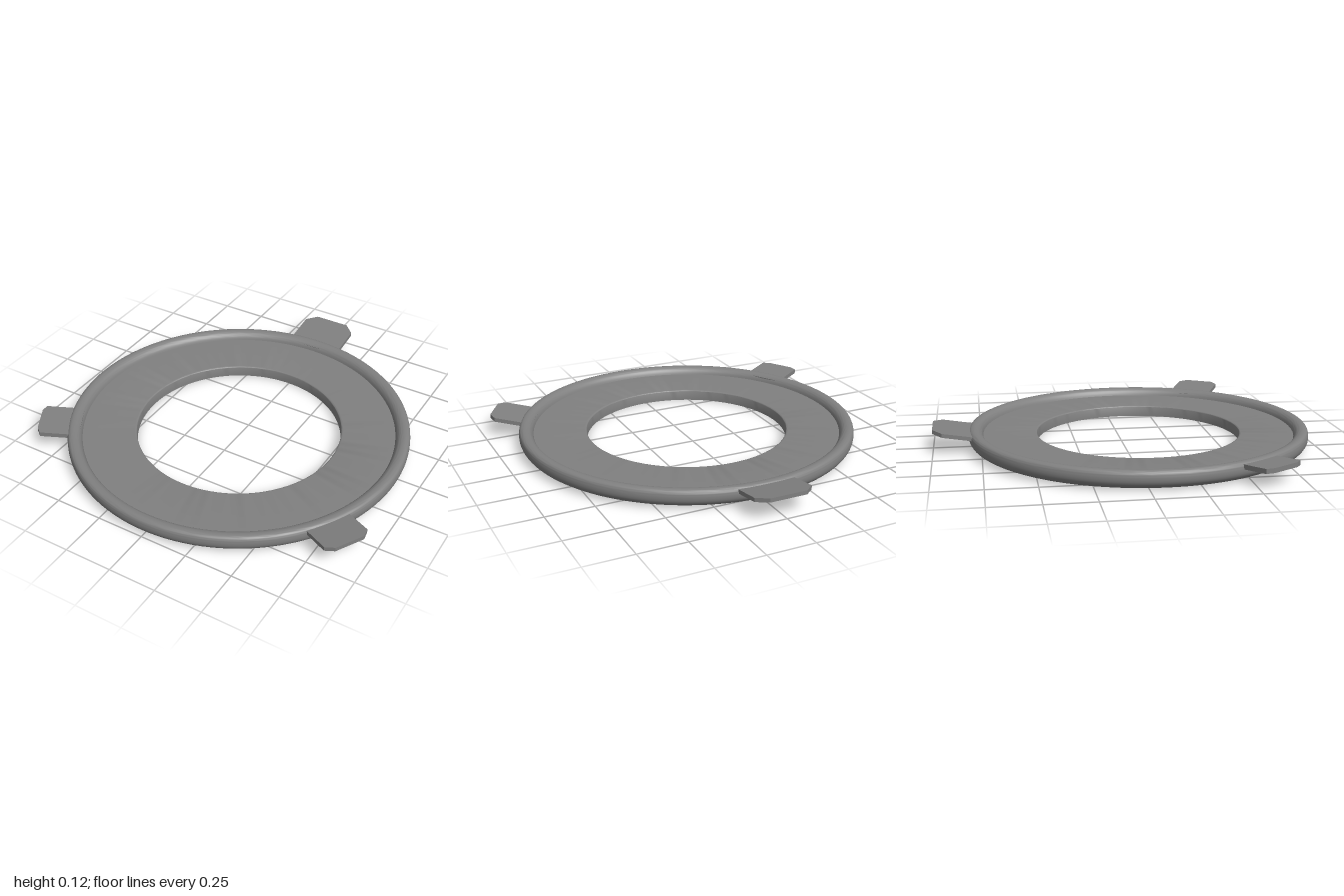
import * as THREE from 'three';
import { toCreasedNormals } from 'three/addons/utils/BufferGeometryUtils.js';

// Chamfered plate reaching outwards along -z, sloping up with distance from the ring.
function tabGeometry({ x0, x1, outer, cutX, cutR, base, slope, thick }) {
  const inner = 0.836;
  const shape = new THREE.Shape([
    [x0, inner], [x1, inner], [x1, outer - cutR], [x1 - cutX, outer],
    [x0 + cutX, outer], [x0, outer - cutR],
  ].map(([x, y]) => new THREE.Vector2(x, y)));
  const geo = new THREE.ExtrudeGeometry(shape, { depth: thick, bevelEnabled: false });
  geo.rotateX(-Math.PI / 2);
  const p = geo.attributes.position;
  for (let i = 0; i < p.count; i++) {
    p.setY(i, p.getY(i) + base + slope * (-p.getZ(i) - inner));
  }
  geo.computeVertexNormals();
  return geo;
}

export function createModel() {
  const model = new THREE.Group();
  model.name = 'trimRing';
  const grey = new THREE.MeshStandardMaterial({ color: 0x808080 });
  grey.name = 'grey';

  // Ring section: flat underside, rounded outside, raised rim, recessed floor, hole wall
  const section = new THREE.Path();
  section.moveTo(0.543, 0);
  section.lineTo(0.81, 0);
  section.bezierCurveTo(0.865, 0, 0.905, 0.02, 0.905, 0.058);
  section.bezierCurveTo(0.905, 0.085, 0.9, 0.1, 0.875, 0.1);
  section.quadraticCurveTo(0.838, 0.1, 0.828, 0.06);
  section.lineTo(0.555, 0.06);
  section.quadraticCurveTo(0.543, 0.06, 0.543, 0.052);
  section.lineTo(0.543, 0);
  const ringGeo = toCreasedNormals(
    new THREE.LatheGeometry(section.getPoints(10), 128), Math.PI / 6);
  const ring = new THREE.Mesh(ringGeo, grey);
  ring.name = 'ring';
  model.add(ring);

  // Three mounting tabs: a wide one at the back, two smaller ones towards the front
  const tabs = [
    { name: 'backTab', turn: 0, x0: -0.152, x1: 0.152, outer: 1.09, cutX: 0.055, cutR: 0.05,
      base: 0.062, slope: 0.16, thick: 0.021 },
    { name: 'rightTab', turn: 120, x0: -0.13, x1: 0.1, outer: 1.055, cutX: 0.04, cutR: 0.017,
      base: 0.062, slope: 0.08, thick: 0.024 },
    { name: 'leftTab', turn: -120, x0: -0.105, x1: 0.133, outer: 1.07, cutX: 0.04, cutR: 0.033,
      base: 0.06, slope: 0.15, thick: 0.022 },
  ];
  for (const t of tabs) {
    const mesh = new THREE.Mesh(tabGeometry(t), grey);
    mesh.name = t.name;
    mesh.rotation.y = THREE.MathUtils.degToRad(t.turn);
    model.add(mesh);
  }

  // The back tab is longest, so the ring sits slightly forward
  for (const part of model.children) part.position.set(-0.005, 0, 0.09);
  return model;
}
